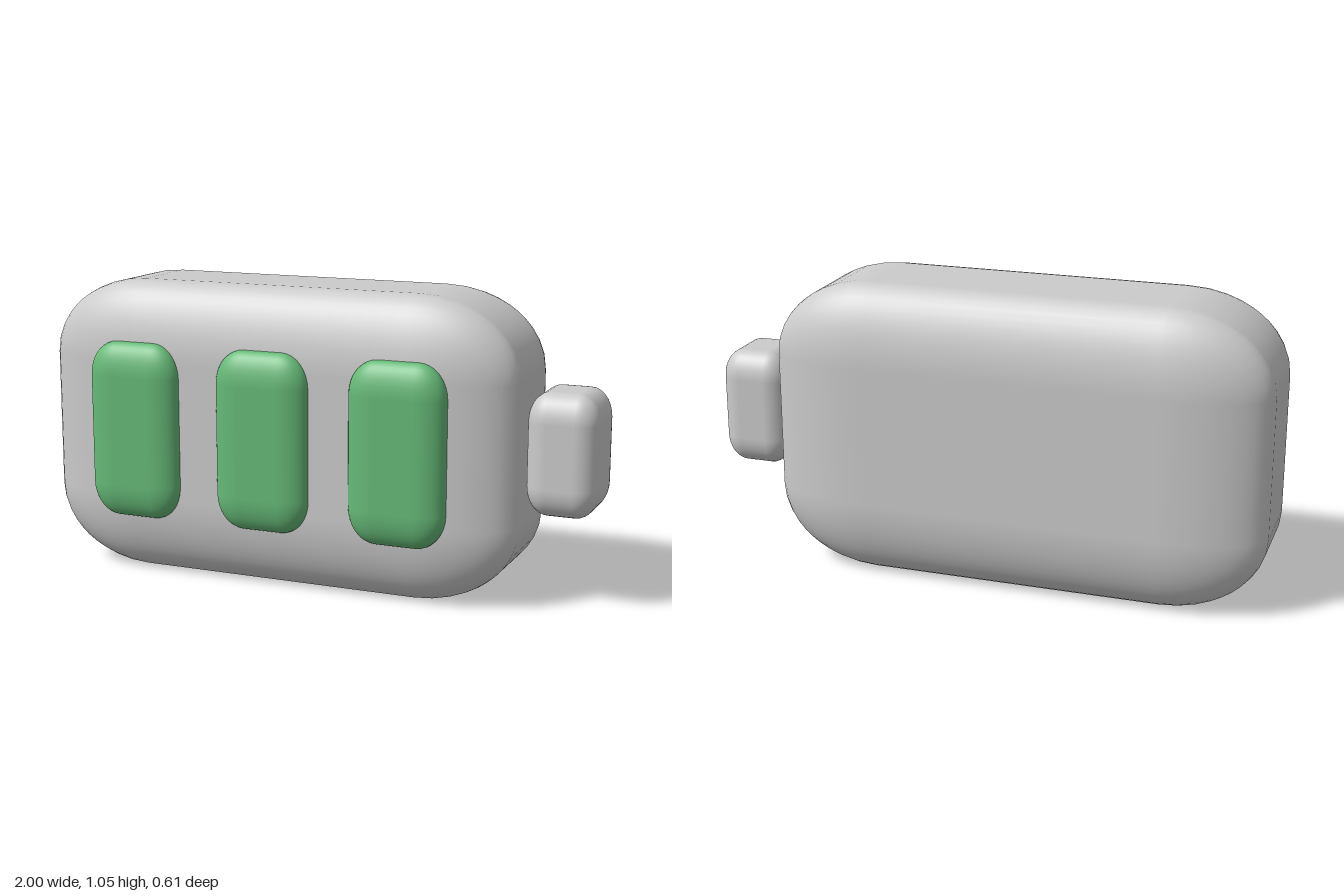
import * as THREE from 'three';
import { RoundedBoxGeometry } from 'three/addons/geometries/RoundedBoxGeometry.js';

const grey = new THREE.MeshStandardMaterial({ color: 0xcccccc });
const green = new THREE.MeshStandardMaterial({ color: 0x66ba78 });

// Soft box between two corners, with a separate rounding radius along each axis
function softBox(name, min, max, radii, material) {
  const size = min.map((v, i) => max[i] - v);
  const [w, h, d] = size.map((s, i) => s / radii[i]);
  const geometry = new RoundedBoxGeometry(w, h, d, 5, 1);
  geometry.scale(...radii);
  const mesh = new THREE.Mesh(geometry, material);
  mesh.name = name;
  mesh.position.set(...min.map((v, i) => (v + max[i]) / 2));
  return mesh;
}

export function createModel() {
  const model = new THREE.Group();
  model.name = 'battery';

  // Casing and the contact at its end
  model.add(softBox('casing', [-1, 0, -0.305], [0.75, 1.05, 0.25], [0.36, 0.28, 0.14], grey));
  model.add(softBox('terminal', [0.755, 0.32, -0.165], [1, 0.74, 0.11], [0.075, 0.1, 0.07], grey));

  // Three charge bars set into the front
  for (let i = 0; i < 3; i++) {
    const x = -0.615 + i * 0.491;
    model.add(softBox(`chargeBar${i + 1}`, [x - 0.171, 0.215, 0.185], [x + 0.171, 0.842, 0.305],
      [0.1, 0.12, 0.055], green));
  }
  return model;
}
